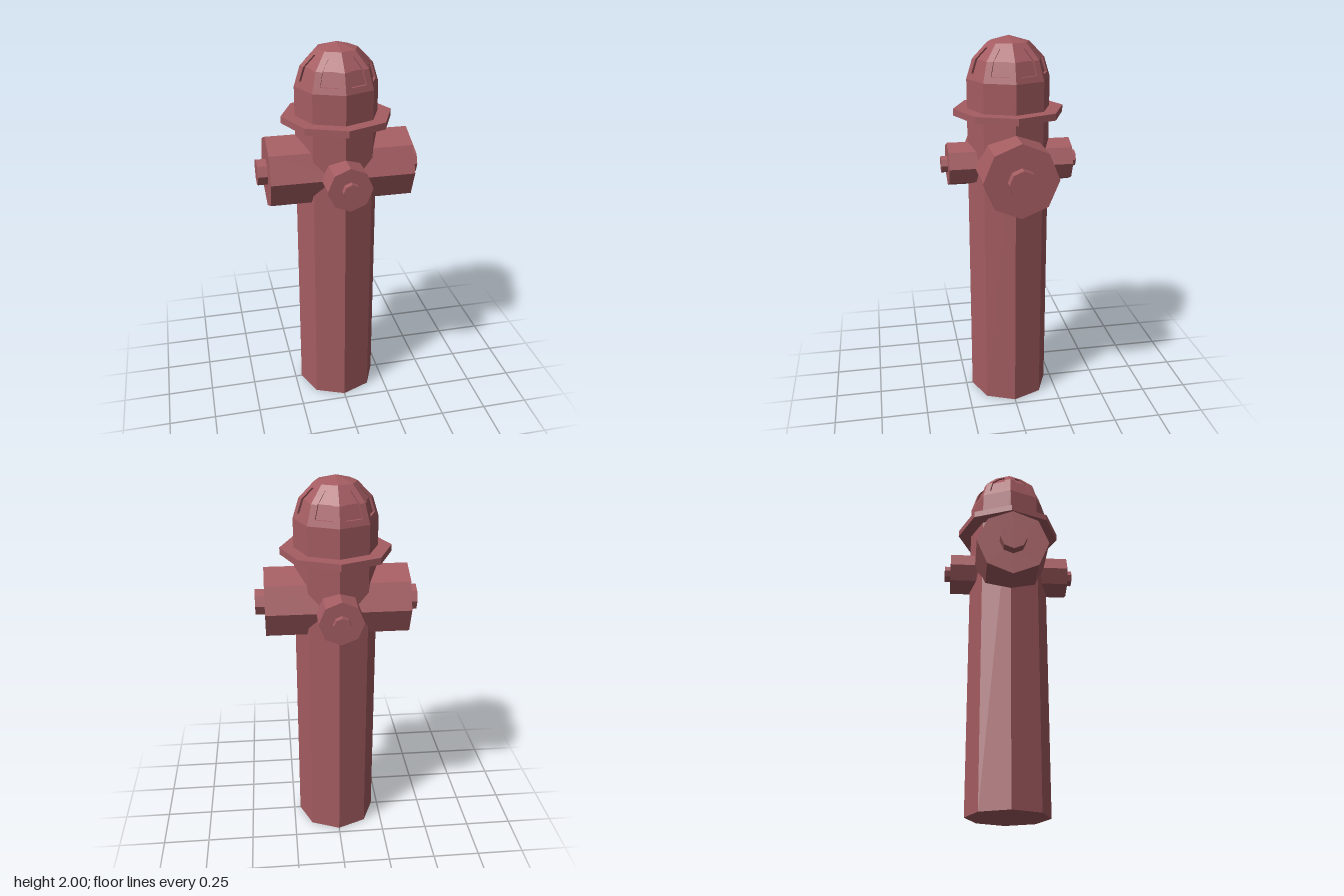
import * as THREE from 'three';

const SIDES = 8;
const APOTHEM = Math.cos(Math.PI / SIDES);
const TAN = Math.tan(Math.PI / SIDES);

// Faceted dome with one recessed window in each of its eight sides
function domeGeometry() {
  const ring = (radius, y) => [radius * APOTHEM, y];
  const between = (a, b, k) => [a[0] + (b[0] - a[0]) * k, a[1] + (b[1] - a[1]) * k];
  const base = ring(0.215, 1.79), shoulder = ring(0.184, 1.89), crown = ring(0.107, 1.97);
  const sill = between(base, shoulder, 0.3), head = between(shoulder, crown, 0.7);
  const margin = 0.08, depth = 0.012;
  const positions = [];

  for (let i = 0; i < SIDES; i++) {
    const angle = (i + 0.5) * Math.PI * 2 / SIDES;
    const s = Math.sin(angle), c = Math.cos(angle);
    const point = (u, t, y) => [u * s + t * c, y, u * c - t * s];
    const tri = (...corners) => corners.forEach(p => positions.push(...p));
    const quad = (bl, br, tr, tl) => { tri(bl, br, tr); tri(bl, tr, tl); };
    const edge = ([u, y], side) => point(u, side * u * TAN, y);
    const rim = ([u, y], side) => point(u, side * (u - margin) * TAN, y);
    const floor = ([u, y], side) => point(u - depth, side * (u - margin) * TAN, y);

    // Plain bands below and above the window, and the cap
    for (const [a, b] of [[base, sill], [head, crown]]) {
      quad(edge(a, -1), edge(a, 1), edge(b, 1), edge(b, -1));
    }
    tri(edge(crown, -1), edge(crown, 1), [0, 2, 0]);

    // Ribs, recessed floor and side walls of the window
    for (const [a, b] of [[sill, shoulder], [shoulder, head]]) {
      quad(edge(a, -1), rim(a, -1), rim(b, -1), edge(b, -1));
      quad(rim(a, 1), edge(a, 1), edge(b, 1), rim(b, 1));
      quad(floor(a, -1), floor(a, 1), floor(b, 1), floor(b, -1));
      quad(rim(a, -1), floor(a, -1), floor(b, -1), rim(b, -1));
      quad(floor(a, 1), rim(a, 1), rim(b, 1), floor(b, 1));
    }
    // Sill and head ledges
    quad(rim(sill, -1), rim(sill, 1), floor(sill, 1), floor(sill, -1));
    quad(floor(head, -1), floor(head, 1), rim(head, 1), rim(head, -1));
  }
  const geometry = new THREE.BufferGeometry();
  geometry.setAttribute('position', new THREE.Float32BufferAttribute(positions, 3));
  geometry.computeVertexNormals();
  return geometry;
}

export function createModel() {
  const model = new THREE.Group();
  model.name = 'fireHydrant';
  const red = new THREE.MeshStandardMaterial({ color: 0xa55d62, flatShading: true });
  red.name = 'dusty red';

  const add = (name, geometry, parent = model) => {
    const mesh = new THREE.Mesh(geometry, red);
    mesh.name = name;
    parent.add(mesh);
    return mesh;
  };
  // Octagonal prism between two heights
  const prism = (radius, from, to) =>
    new THREE.CylinderGeometry(radius, radius, to - from, SIDES).translate(0, (from + to) / 2, 0);

  // Upright column
  add('barrel', prism(0.215, 0, 1.79));
  add('flange', prism(0.286, 1.605, 1.64));
  add('dome', domeGeometry());

  // Outlets: large ones to the sides, small ones front and back
  const outlet = (name, turn, radius, reach, boltRadius, boltReach) => {
    const group = new THREE.Group();
    group.name = name;
    group.position.y = 1.35;
    group.rotation.y = turn;
    add('nozzle', prism(radius, 0, reach).rotateX(Math.PI / 2), group);
    add('capBolt', prism(boltRadius, reach, boltReach).rotateX(Math.PI / 2), group);
    model.add(group);
  };
  outlet('leftOutlet', Math.PI / 2, 0.19, 0.371, 0.071, 0.421);
  outlet('rightOutlet', -Math.PI / 2, 0.19, 0.371, 0.071, 0.421);
  outlet('frontOutlet', 0, 0.114, 0.324, 0.044, 0.357);
  outlet('backOutlet', Math.PI, 0.114, 0.324, 0.044, 0.357);

  return model;
}
